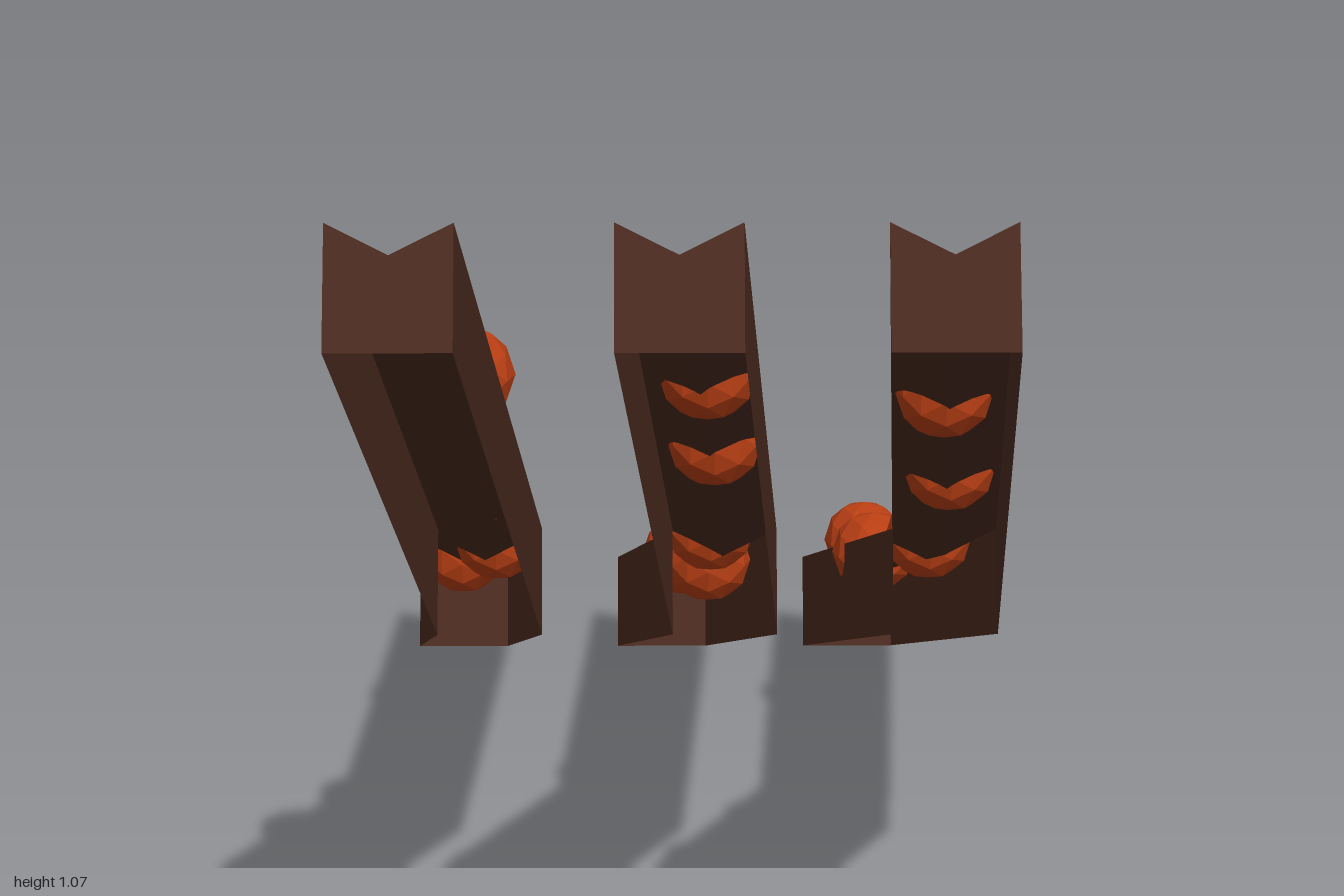
import * as THREE from 'three';

const HALF = 0.061;                              // half width of a trough
const RISE = { y: 0.11, z: -0.06 };              // from the lower edge to the rim
const STATIONS = [[0.96, 1], [0.35, 0.03], [0, -0.94]]; // lower edge [y, z]: front, bend, back
// Section outline from left foot over the groove to right foot: [side, height]
const SECTION = [[-1, 0], [-1, 1], [0, 0.75], [1, 1], [1, 0]];

// Centre x at the three stations, and the balls resting in each trough [x, y, z]
const TROUGHS = [
  { name: 'rightTrough', xs: [-0.285, -0.231, -0.305], balls: [
    [-0.285, 0.2, -0.8], [-0.285, 0.27, -0.53], [-0.23, 0.39, -0.22], [-0.237, 0.555, 0.07], [-0.24, 0.755, 0.345]] },
  { name: 'middleTrough', xs: [-0.013, 0.044, -0.03], balls: [
    [-0.003, 0.225, -0.655], [0.028, 0.32, -0.345], [0.028, 0.445, -0.085], [0.028, 0.67, 0.305], [0.018, 0.805, 0.51]] },
  { name: 'leftTrough', xs: [0.245, 0.302, 0.228], balls: [
    [0.243, 0.2, -0.8], [0.243, 0.27, -0.53], [0.295, 0.39, -0.22], [0.292, 0.605, 0.19], [0.268, 0.77, 0.46]] },
];

// Bent channel, open underneath, with a V groove on top and closed ends
function troughGeometry(xs) {
  const positions = [];
  const index = [];
  STATIONS.forEach(([y, z], i) => {
    for (const [side, h] of SECTION) {
      positions.push(xs[i] + side * HALF, y + h * RISE.y, z + h * RISE.z);
    }
  });
  const n = SECTION.length;
  for (let i = 0; i < STATIONS.length - 1; i++) {
    for (let j = 0; j < n - 1; j++) {
      const a = i * n + j, b = a + 1, c = b + n, d = a + n;
      index.push(a, b, c, a, c, d);
    }
  }
  // End caps fan out from the groove point
  const last = (STATIONS.length - 1) * n;
  for (const [p, q] of [[1, 0], [0, 4], [4, 3]]) {
    index.push(2, p, q, last + 2, last + q, last + p);
  }
  const geometry = new THREE.BufferGeometry();
  geometry.setAttribute('position', new THREE.Float32BufferAttribute(positions, 3));
  geometry.setIndex(index);
  const flat = geometry.toNonIndexed();
  flat.computeVertexNormals();
  return flat;
}

export function createModel() {
  const model = new THREE.Group();
  const wood = new THREE.MeshStandardMaterial({ color: 0x4a2a1f, flatShading: true, side: THREE.DoubleSide });
  const orange = new THREE.MeshStandardMaterial({ color: 0xb83e14, flatShading: true });
  const ballGeometry = new THREE.IcosahedronGeometry(0.053, 1);

  for (const { name, xs, balls } of TROUGHS) {
    const trough = new THREE.Mesh(troughGeometry(xs), wood);
    trough.name = name;
    model.add(trough);

    for (const position of balls) {
      const ball = new THREE.Mesh(ballGeometry, orange);
      ball.name = 'ball';
      ball.position.set(...position);
      model.add(ball);
    }
  }
  return model;
}
